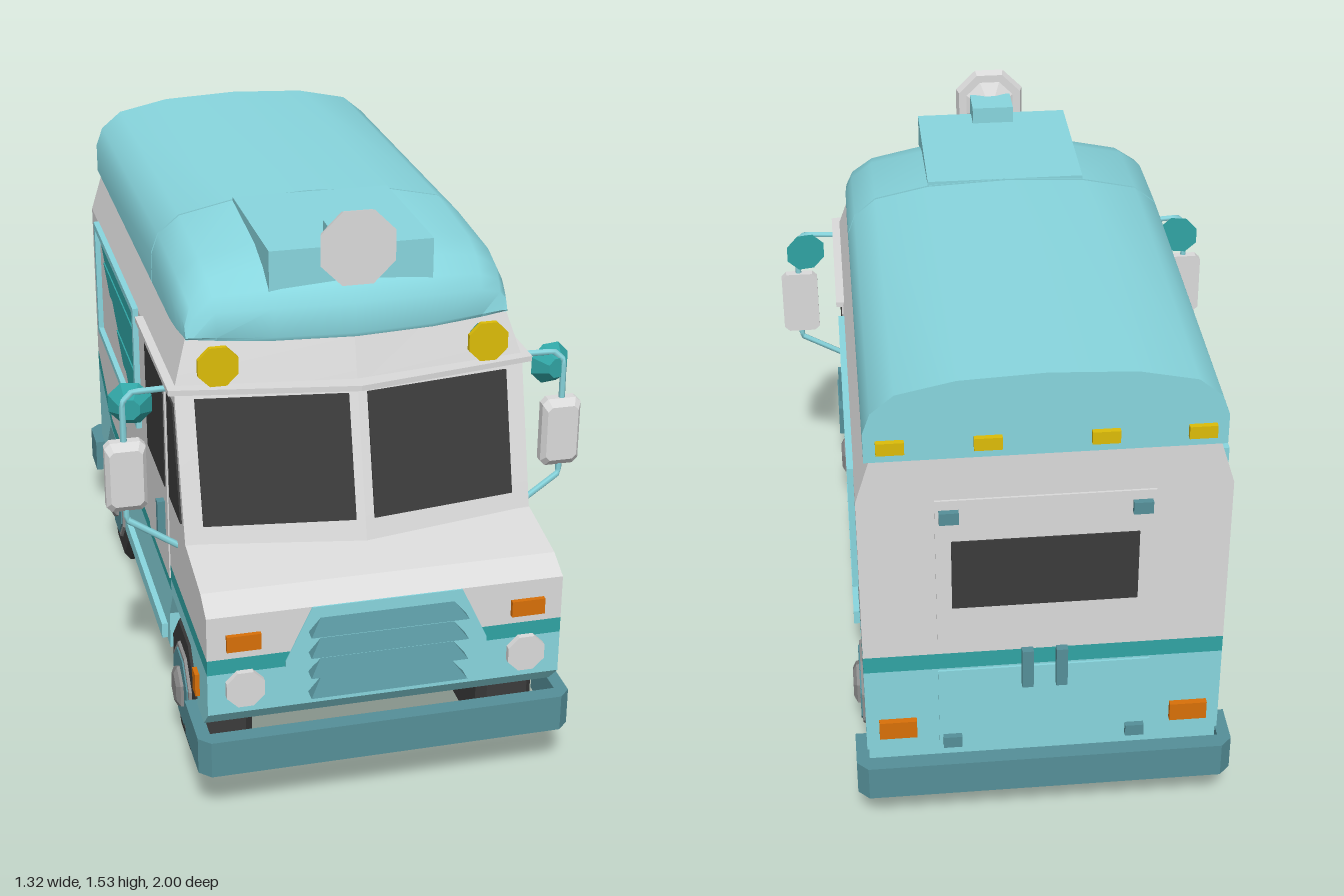
import * as THREE from 'three';
import { toCreasedNormals } from 'three/addons/utils/BufferGeometryUtils.js';

const paint = (name, color) => Object.assign(new THREE.MeshStandardMaterial({ color }), { name });
const white = paint('body white', 0xdadada);
const aqua = paint('light aqua', 0x88d6de);
const teal = paint('stripe teal', 0x30a4a4);
const slate = paint('bumper slate teal', 0x558f98);
const dark = paint('dark glass and rubber', 0x3b3b3b);
const orange = paint('signal orange', 0xd87008);
const yellow = paint('lamp yellow', 0xdcbc08);
const grey = paint('hub grey', 0x8c8c8c);

export function createModel() {
  const van = new THREE.Group();
  van.name = 'stepVan';

  const add = (name, geo, mat, x = 0, y = 0, z = 0) => {
    const mesh = new THREE.Mesh(geo, mat);
    mesh.name = name;
    mesh.position.set(x, y, z);
    van.add(mesh);
    return mesh;
  };
  const box = (name, w, h, d, mat, x, y, z) => add(name, new THREE.BoxGeometry(w, h, d), mat, x, y, z);
  const outline = pts => new THREE.Shape(pts.map(p => new THREE.Vector2(...p)));
  const extrude = (shape, depth) => new THREE.ExtrudeGeometry(shape, { depth, bevelEnabled: false });
  // (z, y) outline pushed along x, filling x0..x1
  const profile = (name, pts, x0, x1, mat) => {
    const shape = pts instanceof THREE.Shape ? pts : outline(pts);
    return add(name, extrude(shape, x1 - x0).rotateY(-Math.PI / 2), mat, x1);
  };
  const sidePlate = (name, pts, s, t, mat) =>
    s > 0 ? profile(name, pts, 0.474, 0.475 + t, mat) : profile(name, pts, -0.475 - t, -0.474, mat);
  // (x, z) outline pushed up, filling y0..y1
  const plan = (name, pts, y0, y1, mat) =>
    add(name, extrude(outline(pts.map(([x, z]) => [x, -z])), y1 - y0).rotateX(-Math.PI / 2), mat, 0, y0);
  const rect = (a, b, c, d) => [[a, c], [b, c], [b, d], [a, d]];
  // Closed, capped skin through equal rings of points, turned outward
  const loft = (rings, crease = 0.2) => {
    const tris = [], n = rings[0].length;
    for (let r = 0; r + 1 < rings.length; r++)
      for (let i = 0; i < n; i++) {
        const j = (i + 1) % n, [A, B] = [rings[r], rings[r + 1]];
        tris.push([A[i], A[j], B[j]], [A[i], B[j], B[i]]);
      }
    const last = rings[rings.length - 1];
    for (let i = 1; i < n - 1; i++)
      tris.push([rings[0][0], rings[0][i + 1], rings[0][i]], [last[0], last[i], last[i + 1]]);
    const v = p => new THREE.Vector3(...p);
    const volume = tris.reduce((s, [a, b, c]) => s + v(a).dot(v(b).cross(v(c))), 0);
    if (volume < 0) tris.forEach(t => t.reverse());
    const geo = new THREE.BufferGeometry();
    geo.setAttribute('position', new THREE.Float32BufferAttribute(tris.flat(2), 3));
    return toCreasedNormals(geo, crease);
  };
  // Octagonal disc facing front
  const disc = (name, rFront, rBack, depth, mat, x, y, z) => add(name, toCreasedNormals(
    new THREE.CylinderGeometry(rFront, rBack, depth, 8).rotateY(Math.PI / 8).rotateX(Math.PI / 2), 0.3), mat, x, y, z);

  // Lower body with wheel arches, stripe band and white middle
  profile('lowerBody', [[0.96, 0.434], [0.44, 0.434], [0.44, 0.396], [-0.64, 0.396], [-0.92, 0.52], [-0.92, 0.19],
    [-0.77, 0.19], [-0.77, 0.3], [-0.69, 0.39], [-0.41, 0.39], [-0.345, 0.3], [-0.345, 0.19],
    [0.4, 0.19], [0.4, 0.3], [0.46, 0.39], [0.73, 0.39], [0.81, 0.3], [0.81, 0.255], [0.9, 0.255], [0.96, 0.315]],
  -0.475, 0.475, aqua);
  profile('stripe', [[0.96, 0.434], [0.96, 0.477], [0.44, 0.477], [0.44, 0.434], [-0.64, 0.434], [-0.92, 0.57],
    [-0.92, 0.52], [-0.64, 0.396], [0.44, 0.396], [0.44, 0.434]], -0.475, 0.475, teal);
  profile('middleBody', [[0.96, 0.477], [0.96, 0.6], [0.89, 0.635], [0.69, 0.668], [-0.92, 0.668], [-0.92, 0.57],
    [-0.64, 0.434], [0.44, 0.434], [0.44, 0.477]], -0.475, 0.475, white);
  box('floorPan', 0.9, 0.01, 0.72, slate, 0, 0.188, 0.02);

  // Upper body with pointed windscreen front, tapering under the roof
  const level = (y, w, side, mid) =>
    [[-w, y, -0.92], [-w, y, side], [0, y, mid], [w, y, side], [w, y, -0.92]];
  add('upperBody', loft([level(0.65, 0.475, 0.69, 0.755), level(1.065, 0.475, 0.575, 0.64),
    level(1.2, 0.433, 0.535, 0.6)]), white);
  plan('rainGutter', [[-0.495, 0.07], [-0.495, 0.6], [0, 0.685], [0.495, 0.6], [0.495, 0.07]], 1.06, 1.075, white);

  // Windscreen panes
  const screenZ = (x, y) => 0.755 - 0.115 * (y - 0.65) / 0.415 - 0.065 * Math.abs(x) / 0.475;
  for (const s of [-1, 1]) {
    const ring = d => rect(0.025, 0.425, 0.715, 1.04).map(([x, y]) => [s * x, y, screenZ(x, y) + d]);
    add('windscreen', loft([ring(-0.002), ring(0.006)]), dark);
  }

  // Roof: arched rear shell and rounded front cap
  const half = [[0.45, 0], [0.45, 0.085], [0.43, 0.14], [0.37, 0.19], [0.22, 0.222]];
  const arch = [...half, [0, 0.232], ...half.map(([x, h]) => [-x, h]).reverse()];
  add('rearRoof', toCreasedNormals(extrude(outline(arch), 1.04), 0.7), aqua, 0, 1.19, -0.93);
  const stations = [[0.118, 1, 1, 0], [0.4, 0.88, 1, 0.1], [0.51, 0.74, 0.99, 0.5], [0.585, 0.57, 0.975, 0.9],
    [0.615, 0.38, 0.97, 1], [0.63, 0.05, 0.97, 1], [0.625, 0, 0.97, 1]];
  add('frontRoof', loft(stations.map(([z, h, w, bend]) =>
    arch.map(([x, y]) => [x * w, 1.19 + y * h, z - 0.08 * bend * (x / 0.45) ** 2])), 0.7), aqua);
  box('roofPod', 0.44, 0.11, 0.45, aqua, 0, 1.367, 0.345);

  // Roof horn
  box('hornMount', 0.12, 0.06, 0.1, aqua, 0, 1.44, 0.55);
  disc('hornThroat', 0.08, 0.03, 0.03, white, 0, 1.435, 0.595);
  disc('hornFace', 0.108, 0.1, 0.025, white, 0, 1.435, 0.62);

  // Grille with four slats
  const grille = [[-0.27, 0.433], [0.27, 0.433], [0.27, 0.45], [0.2, 0.6], [-0.2, 0.6], [-0.27, 0.45]];
  add('grillePanel', extrude(outline(grille), 0.006), aqua, 0, 0, 0.958);
  for (let i = 0; i < 4; i++) {
    const y = 0.53 - i * 0.06;
    add('grilleSlat', loft([-1, 1].map(s =>
      [[s * 0.175, y + 0.042, 0.96], [s * 0.21, y, 0.998], [s * 0.21, y, 0.96]])), slate);
  }

  // Bumpers wrapping the corners
  for (const [name, s, tip] of [['frontBumper', 1, 0.785], ['rearBumper', -1, 0.855]]) {
    const right = [[0.47, tip], [0.505, tip], [0.505, 0.97], [0.475, 1]];
    const pts = [[0.47, 0.955], ...right, ...right.map(([x, z]) => [-x, z]).reverse(), [-0.47, 0.955]];
    plan(name, pts.map(([x, z]) => [x, z * s]), 0.153, 0.256, slate);
  }

  for (const s of [-1, 1]) {
    // Front and marker lamps
    box('turnSignal', 0.09, 0.045, 0.016, orange, s * 0.38, 0.525, 0.965);
    disc('headlight', 0.054, 0.054, 0.02, white, s * 0.378, 0.39, 0.967);
    box('sideMarker', 0.016, 0.065, 0.04, orange, s * 0.479, 0.34, 0.83);
    box('rearLamp', 0.1, 0.055, 0.02, orange, s * 0.39, 0.33, -0.927);
    disc('browLampHousing', 0.055, 0.03, 0.055, teal, s * 0.365, 1.135, 0.575);
    disc('browLamp', 0.058, 0.058, 0.014, yellow, s * 0.365, 1.135, 0.609);
    for (const x of [0.145, 0.385]) box('roofMarker', 0.07, 0.035, 0.02, yellow, s * x, 1.235, -0.935);

    // Cab door, glass, handle and running board
    sidePlate('cabDoor', [[0.44, 0.48], [0.44, 1.06], [0.12, 1.06], [0.12, 0.436], [0.44, 0.436]], s, 0.004, white);
    sidePlate('doorWindow', rect(0.14, 0.42, 0.71, 1.04), s, 0.007, dark);
    sidePlate('quarterWindow', [[0.645, 0.71], [0.48, 0.71], [0.48, 1.02], [0.565, 1.02]], s, 0.005, dark);
    box('doorHandle', 0.025, 0.11, 0.025, slate, s * 0.488, 0.6, 0.388);
    box('runningBoard', 0.05, 0.045, 0.67, aqua, s * 0.467, 0.222, 0.025);

    // Serving window frame
    const frame = outline(rect(-0.775, 0, 0.695, 1.07));
    frame.holes.push(new THREE.Path(rect(-0.752, -0.023, 0.715, 1.05).map(p => new THREE.Vector2(...p))));
    sidePlate('windowFrame', frame, s, 0.016, aqua);

    // Mirror arm, mirror and round mirror
    const path = new THREE.CurvePath();
    const bends = [[0.465, 1.053, 0.53], [0.58, 1.055, 0.54], [0.607, 1.03, 0.545], [0.607, 0.69, 0.55], [0.465, 0.6, 0.565]]
      .map(([x, y, z]) => new THREE.Vector3(s * x, y, z));
    for (let i = 0; i < 4; i++) path.add(new THREE.LineCurve3(bends[i], bends[i + 1]));
    add('mirrorArm', new THREE.TubeGeometry(path, 40, 0.009, 6), aqua);
    const face = (k, z) => [[0.055, 0.085], [0.04, 0.1], [-0.04, 0.1], [-0.055, 0.085], [-0.055, -0.085], [-0.04, -0.1],
      [0.04, -0.1], [0.055, -0.085]].map(([x, y]) => [s * 0.605 + x * k, 0.82 + y * k, z]);
    add('sideMirror', loft([face(1, 0.53), face(1, 0.555), face(0.8, 0.572)]), white);
    const round = disc('roundMirror', 0.03, 0.062, 0.045, teal, s * 0.585, 1.01, 0.53);
    round.rotation.y = s * 0.2;

    // Rear door fittings
    box('rearHandle', 0.03, 0.12, 0.024, slate, s * 0.045, 0.52, -0.935);
    for (const y of [0.28, 1.015]) box('rearHinge', 0.05, 0.035, 0.02, slate, s * 0.245, y, -0.932);
  }

  // Rear door panels and window
  box('rearDoorUpper', 0.56, 0.48, 0.008, white, 0, 0.82, -0.922);
  box('rearDoorLower', 0.56, 0.29, 0.008, aqua, 0, 0.37, -0.922);
  box('rearWindow', 0.48, 0.21, 0.008, dark, 0, 0.83, -0.926);

  // Glazed bars on the left serving window
  sidePlate('windowBacking', rect(-0.76, -0.015, 0.705, 1.06), 1, 0.004, aqua);
  for (const [y0, y1] of [[0.717, 0.81], [0.825, 0.932], [0.948, 1.048]])
    sidePlate('windowBar', rect(-0.75, -0.025, y0, y1), 1, 0.009, dark);

  // Slanting shutter on the right serving window
  const shutterEnd = y => -0.752 + (1.05 - y) / 0.335 * 0.6;
  for (let i = 0; i < 5; i++) {
    const y0 = 0.715 + i * 0.067, y1 = y0 + 0.067;
    sidePlate('shutterSlat', [[shutterEnd(y0), y0], [-0.023, y0], [-0.023, y1], [shutterEnd(y1), y1]], -1,
      i % 2 ? 0.009 : 0.005, teal);
  }

  // Wheels: bevelled tyre, rim rings and hub, spun around the axle
  const spun = (pts, n, s) => toCreasedNormals(
    new THREE.LatheGeometry(pts.map(p => new THREE.Vector2(...p)), n).rotateY(Math.PI / n).rotateZ(-s * Math.PI / 2), 0.3);
  for (const s of [-1, 1]) for (const z of [0.603, -0.558]) {
    const part = (name, pts, n, mat) => add(name, spun(pts, n, s), mat, s * 0.395, 0.187, z);
    part('tyre', [[0, -0.078], [0.17, -0.078], [0.202, -0.055], [0.202, 0.06], [0.18, 0.078], [0, 0.078]], 8, dark);
    part('rimEdge', [[0.128, 0.07], [0.122, 0.086], [0, 0.086]], 8, grey);
    part('rim', [[0.112, 0.08], [0.108, 0.09], [0, 0.09]], 8, slate);
    part('hub', [[0.066, 0.085], [0.062, 0.098], [0.042, 0.108], [0, 0.108]], 6, grey);
  }
  return van;
}
